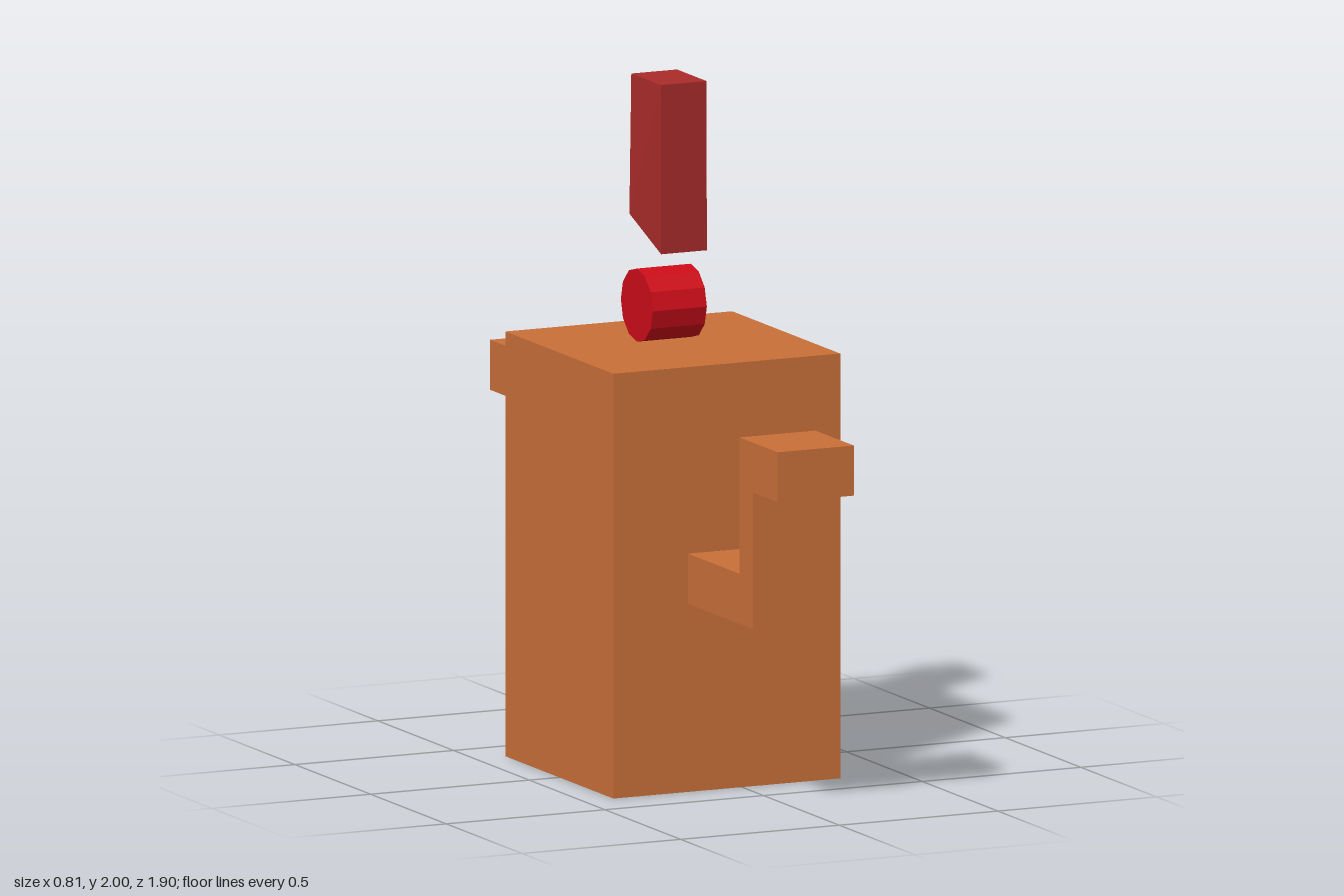
import * as THREE from 'three';

export function createModel() {
  const model = new THREE.Group();
  const mat = (color) => new THREE.MeshStandardMaterial({ color, flatShading: true });
  const orange = mat(0xc96f38);

  function add(name, geometry, material) {
    const mesh = new THREE.Mesh(geometry, material);
    mesh.name = name;
    model.add(mesh);
    return mesh;
  }

  // Box given by its limits on each axis
  function box(name, [x0, x1], [y0, y1], [z0, z1], material) {
    const mesh = add(name, new THREE.BoxGeometry(x1 - x0, y1 - y0, z1 - z0), material);
    mesh.position.set((x0 + x1) / 2, (y0 + y1) / 2, (z0 + z1) / 2);
    return mesh;
  }

  // Twelve-sided disc with its axis along x
  function disc(name, [x0, x1], y, z, r, material) {
    const mesh = add(name, new THREE.CylinderGeometry(r, r, x1 - x0, 12).rotateZ(Math.PI / 2), material);
    mesh.position.set((x0 + x1) / 2, y, z);
    return mesh;
  }

  box('body', [-0.405, 0.31], [0, 1.23], [-0.357, 0.357], orange);

  // Bent arms: one outline in (z, y), extruded along x and turned to each side
  const outline = [
    [0.357, 0.545], [0.787, 0.545], [0.787, 0.94], [0.95, 0.94],
    [0.95, 1.085], [0.697, 1.085], [0.697, 0.69], [0.357, 0.69],
  ].map(([z, y]) => new THREE.Vector2(z, y));
  for (const side of [1, -1]) {
    const geometry = new THREE.ExtrudeGeometry(new THREE.Shape(outline), { depth: 0.24, bevelEnabled: false });
    geometry.translate(0, 0, -0.12).rotateY(-side * Math.PI / 2).translate(-0.05, 0, 0);
    add(side > 0 ? 'leftArm' : 'rightArm', geometry, orange);
  }

  // Face on the +x side
  disc('tealEye', [0.31, 0.372], 1.0, 0.14, 0.07, mat(0x45c8ba));
  disc('greenEye', [0.31, 0.372], 0.937, -0.165, 0.07, mat(0x20cc20));
  box('mouth', [0.31, 0.402], [0.655, 0.71], [-0.125, 0.11], mat(0xc8c010));

  // Floating mark above the head: round dot and slanted bar
  disc('markDot', [-0.155, 0.015], 1.345, -0.012, 0.106, mat(0xcc0c18));

  const bar = box('markBar', [-0.134, 0.01], [1.505, 2], [-0.093, 0.103], mat(0xaa2c2a));
  const p = bar.geometry.attributes.position;
  for (let i = 0; i < p.count; i++) {
    if (p.getY(i) > 0) continue;
    // The lower end is cut on a slant, with its front and back edges shifted
    if (p.getZ(i) > 0) p.setXYZ(i, p.getX(i) + 0.012, p.getY(i), p.getZ(i) - 0.024);
    else p.setXYZ(i, p.getX(i) - 0.006, p.getY(i) + 0.09, p.getZ(i));
  }
  bar.geometry.computeVertexNormals();

  return model;
}
